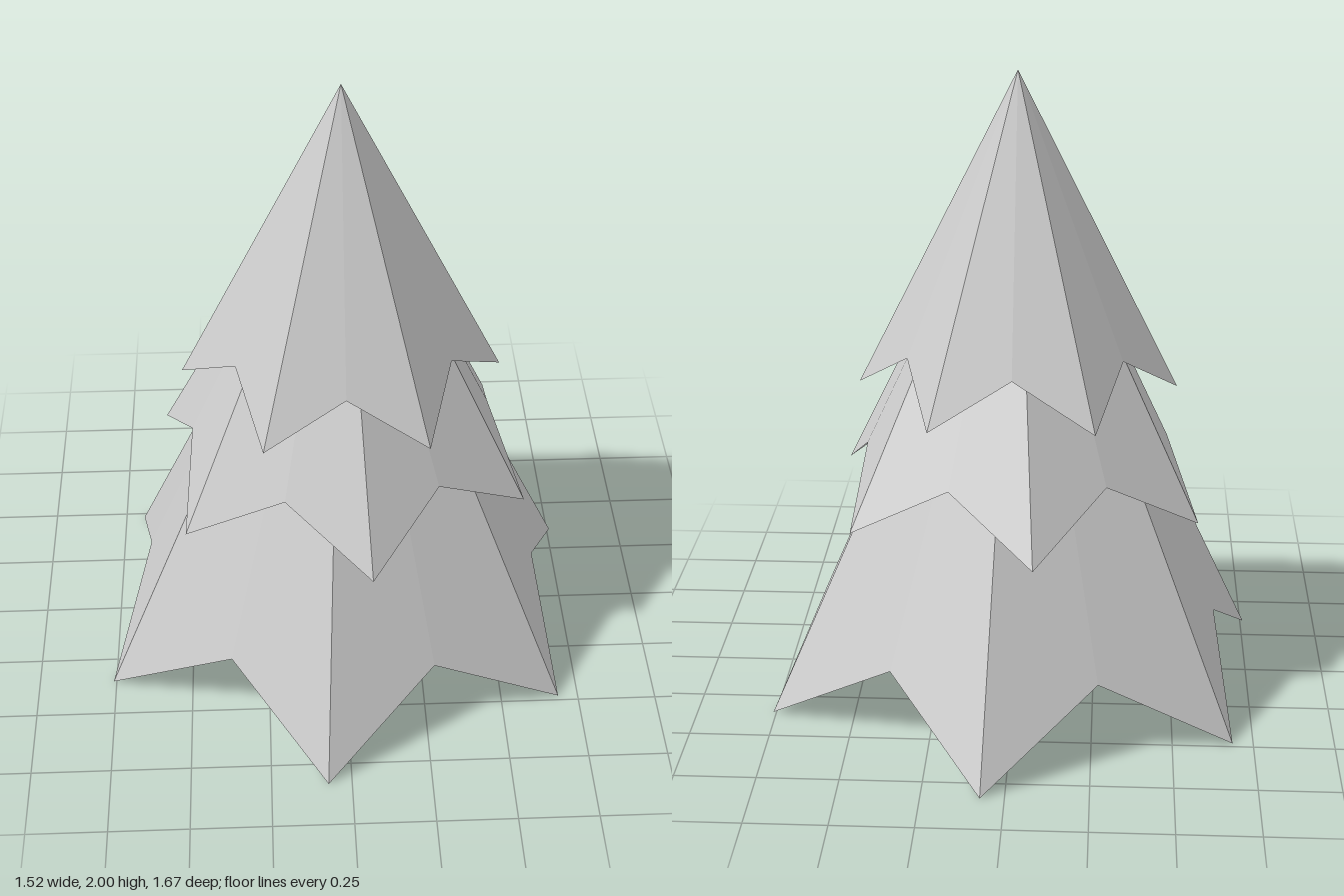
import * as THREE from 'three';

const material = new THREE.MeshStandardMaterial({
  color: 0xcccccc, flatShading: true, side: THREE.DoubleSide,
});

// An open six-sided cone whose hem zigzags between low tips and high notches.
function makeTier({ name, apex, tipR, tipY, notchR, notchY, turn }) {
  const sides = 6;
  const hem = (i) => {
    const a = THREE.MathUtils.degToRad(turn) + (i * Math.PI) / sides;
    const r = i % 2 ? notchR : tipR;
    return [Math.cos(a) * r, i % 2 ? notchY : tipY, Math.sin(a) * r];
  };
  const positions = [];
  for (let i = 0; i < sides * 2; i++) {
    positions.push(0, apex, 0, ...hem(i + 1), ...hem(i));
  }
  const geometry = new THREE.BufferGeometry();
  geometry.setAttribute('position', new THREE.Float32BufferAttribute(positions, 3));
  geometry.computeVertexNormals();
  const mesh = new THREE.Mesh(geometry, material);
  mesh.name = name;
  return mesh;
}

export function createModel() {
  const tree = new THREE.Group();
  tree.name = 'firTree';
  // Three nested tiers of branches, each turned a little against the next
  const tiers = [
    { name: 'topBranches', apex: 2, tipR: 0.5, tipY: 1, notchR: 0.38, notchY: 1.147, turn: 0 },
    { name: 'middleBranches', apex: 1.84, tipR: 0.62, tipY: 0.64, notchR: 0.477, notchY: 0.813, turn: 23.3 },
    { name: 'bottomBranches', apex: 1.74, tipR: 0.838, tipY: 0.005, notchR: 0.638, notchY: 0.25, turn: 35 },
  ];
  for (const tier of tiers) tree.add(makeTier(tier));
  return tree;
}
